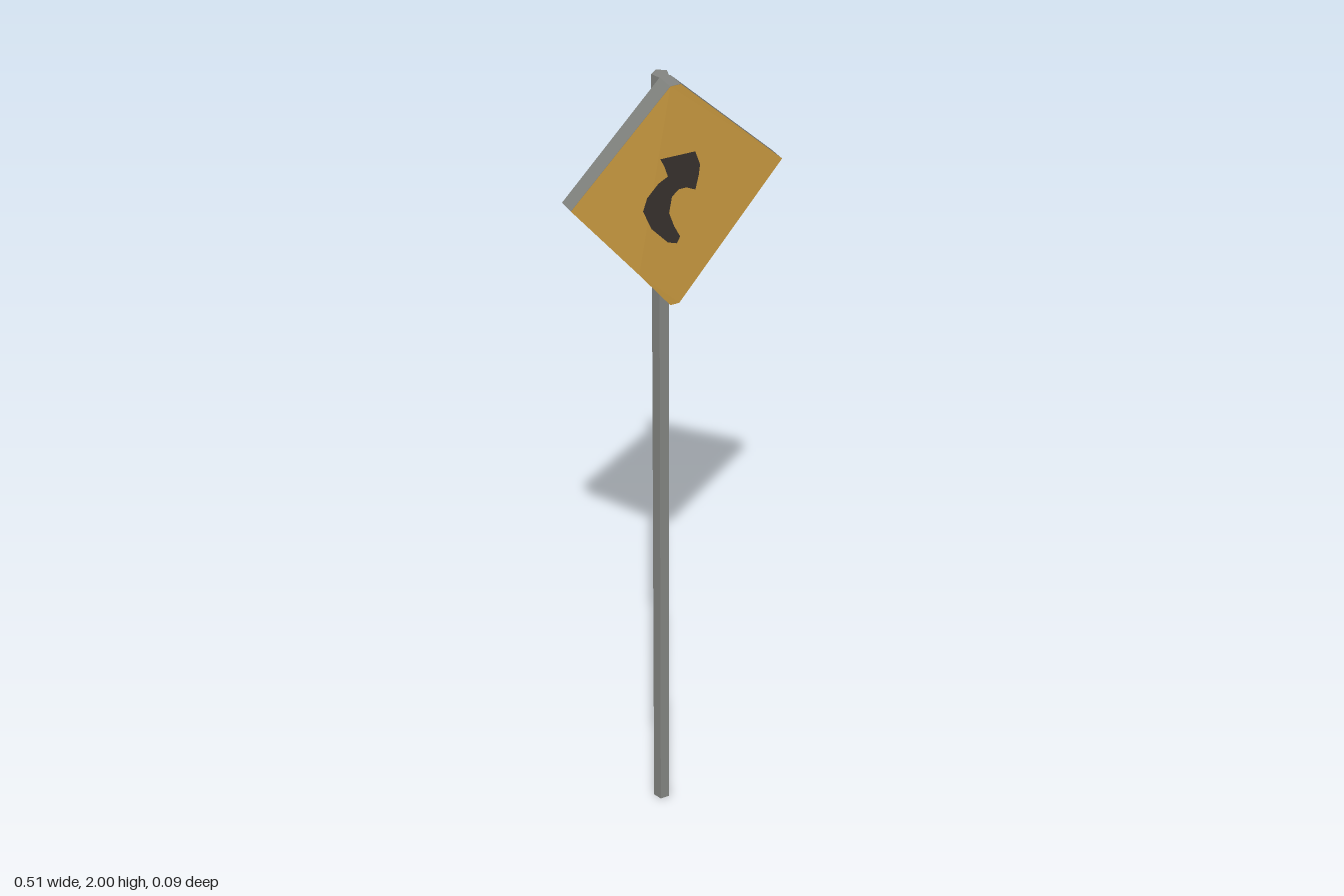
import * as THREE from 'three';

export function createModel() {
  const group = new THREE.Group();
  const metal = new THREE.MeshStandardMaterial({ color: 0x858783, flatShading: true });
  metal.name = 'grey metal';
  const amber = new THREE.MeshStandardMaterial({ color: 0xca9a40, flatShading: true });
  amber.name = 'amber paint';
  const dark = new THREE.MeshStandardMaterial({ color: 0x38322e, flatShading: true });
  dark.name = 'dark paint';

  const add = (name, geometry, material) => {
    const mesh = new THREE.Mesh(geometry, material);
    mesh.name = name;
    group.add(mesh);
    return mesh;
  };
  const outline = (points) => new THREE.Shape(points.map(([x, y]) => new THREE.Vector2(x, y)));

  // Five-sided pole with one ridge pointing backwards
  const pole = add('pole', new THREE.CylinderGeometry(0.02, 0.02, 2, 5), metal);
  pole.rotation.y = Math.PI;
  pole.position.set(-0.012, 1, -0.024);

  // Diamond panel with clipped top and bottom corners
  const diamond = outline([
    [-0.022, 2], [-0.257, 1.76], [-0.1, 1.565], [-0.022, 1.465],
    [0, 1.465], [0.256, 1.757], [0.003, 2],
  ]);
  // Slight dent: the front of the lower left edge leans forward, the side corners back
  const bend = (geometry) => {
    const p = geometry.attributes.position;
    for (let i = 0; i < p.count; i++) {
      if (p.getZ(i) < 0.02) continue;
      const x = p.getX(i);
      const shift = Math.abs(x + 0.1) < 0.01 ? 0.003 : Math.abs(x) > 0.2 ? -0.005 : 0;
      p.setZ(i, p.getZ(i) + shift);
    }
    geometry.computeVertexNormals();
    return geometry;
  };
  const panel = new THREE.ExtrudeGeometry(diamond, { depth: 0.047, bevelEnabled: false });
  add('signPanel', bend(panel.translate(0, 0, -0.008)), metal);
  add('signFace', bend(new THREE.ShapeGeometry(diamond).translate(0, 0, 0.04)), amber);

  // Curved arrow bending to the right
  const arrow = outline([
    [-0.048, 1.836], [0.036, 1.834], [0.048, 1.8], [0.045, 1.775], [0.037, 1.741],
    [0.015, 1.752], [-0.004, 1.752], [-0.02, 1.738], [-0.027, 1.7], [-0.015, 1.665],
    [0, 1.635], [-0.008, 1.62], [-0.03, 1.628], [-0.07, 1.672], [-0.09, 1.72],
    [-0.08, 1.75], [-0.053, 1.778], [-0.03, 1.79], [-0.038, 1.815],
  ]);
  add('arrow', new THREE.ShapeGeometry(arrow).translate(0, 0, 0.0435), dark);
  return group;
}
